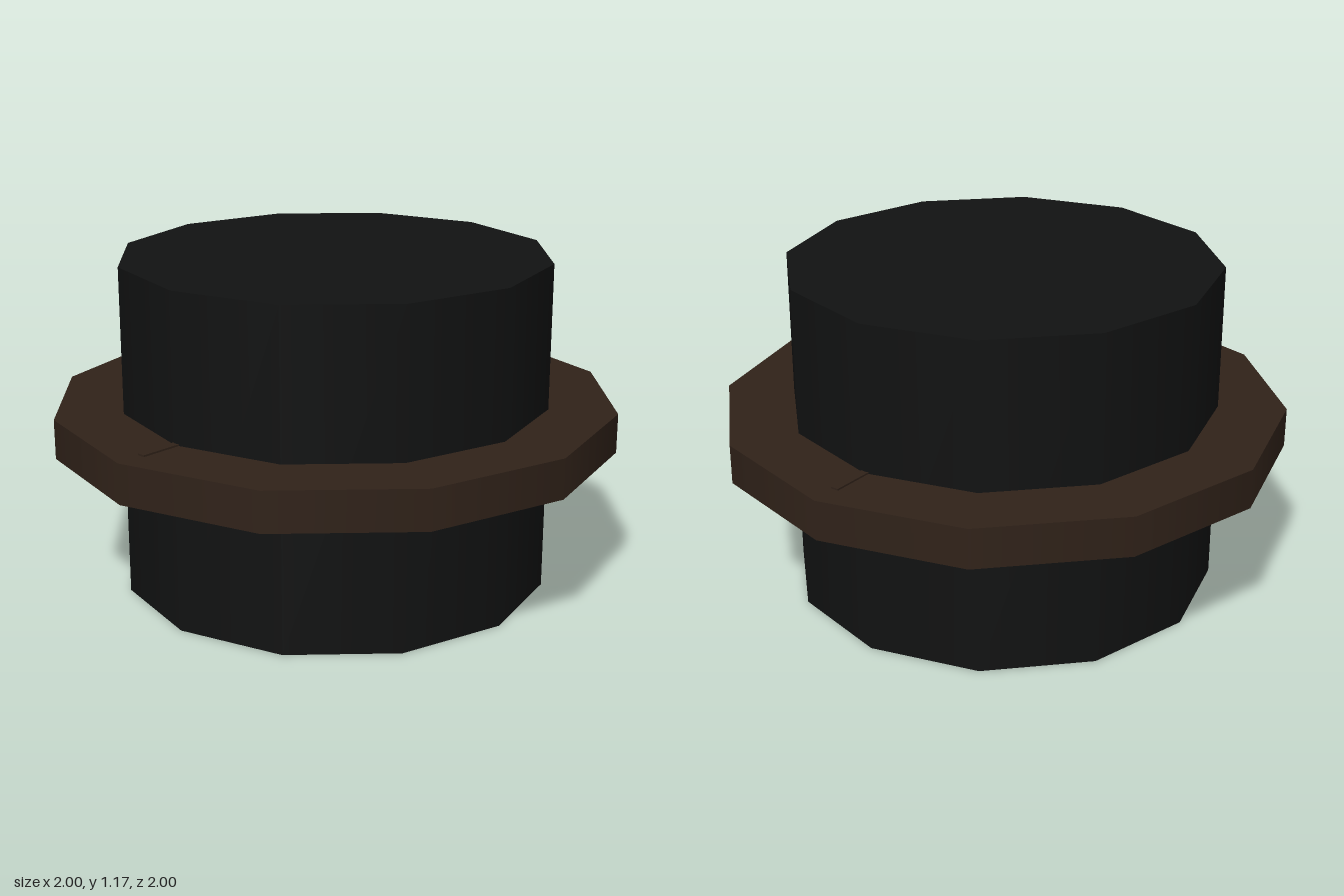
import * as THREE from 'three';

const SIDES = 12;

export function createModel() {
  const group = new THREE.Group();
  const black = new THREE.MeshStandardMaterial({ color: 0x111212 });
  const brown = new THREE.MeshStandardMaterial({ color: 0x302219 });

  const add = (name, geometry, material, y) => {
    const mesh = new THREE.Mesh(geometry, material);
    mesh.name = name;
    mesh.position.y = y;
    group.add(mesh);
  };

  // Twelve-sided drum standing on the ground
  add('drum', new THREE.CylinderGeometry(0.76, 0.76, 1.175, SIDES), black, 0.5875);

  // Wide flange around the middle of the drum
  add('flange', new THREE.CylinderGeometry(1, 1, 0.14, SIDES), brown, 0.59);

  // Thin crossbar standing slightly proud of the flange
  add('crossbar', new THREE.BoxGeometry(1.81, 0.152, 0.028), brown, 0.59);

  return group;
}
